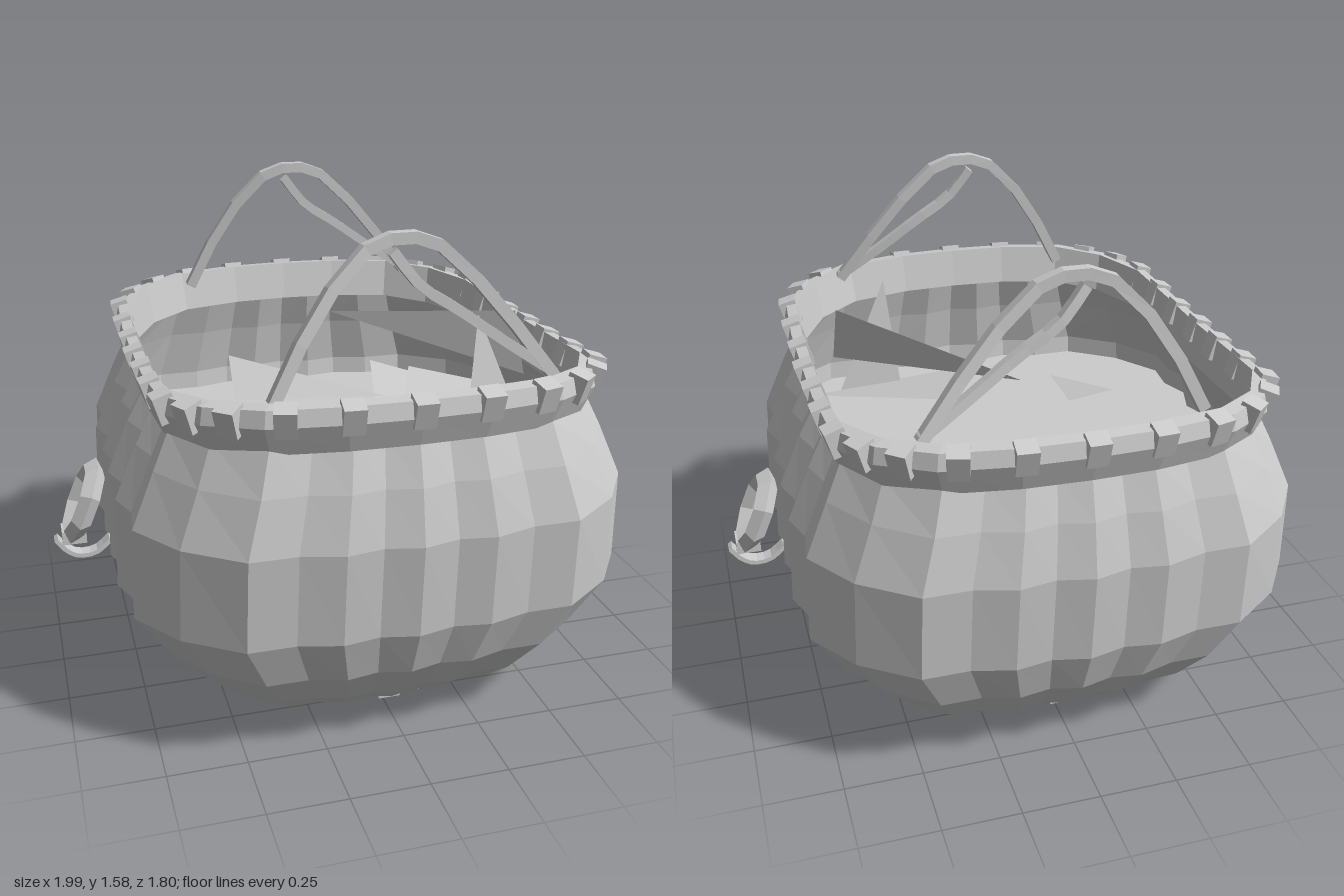
import * as THREE from 'three';

const V = (x, y, z) => new THREE.Vector3(x, y, z);
const grey = new THREE.MeshStandardMaterial({ color: 0xcccccc, flatShading: true, side: THREE.DoubleSide });
grey.name = 'soft grey';

// Skin a list of cross-section loops; optionally join last to first, or cap the ends
function loft(rings, joinEnds = false, caps = false) {
  const n = rings[0].length, pos = [];
  const tri = (...p) => p.forEach(v => pos.push(v.x, v.y, v.z));
  const last = joinEnds ? rings.length : rings.length - 1;
  for (let r = 0; r < last; r++) {
    const a = rings[r], b = rings[(r + 1) % rings.length];
    for (let i = 0; i < n; i++) {
      const j = (i + 1) % n;
      tri(a[i], b[i], b[j]);
      tri(a[i], b[j], a[j]);
    }
  }
  if (caps) {
    const e = rings[rings.length - 1];
    for (let i = 1; i < n - 1; i++) {
      tri(rings[0][0], rings[0][i], rings[0][i + 1]);
      tri(e[0], e[i + 1], e[i]);
    }
  }
  const g = new THREE.BufferGeometry();
  g.setAttribute('position', new THREE.Float32BufferAttribute(pos, 3));
  g.computeVertexNormals();
  return g;
}

// One quarter of the plan outline (unit half-width and half-depth): x, z
const pleated = [[0.97, 0], [1, 0.11], [0.955, 0.23], [1, 0.36], [0.955, 0.48], [0.97, 0.62],
  [0.83, 0.81], [0.62, 0.95], [0.44, 0.95], [0.28, 0.99], [0.14, 0.97], [0, 1]];
const plain = [[1, 0], [1, 0.3], [0.98, 0.6], [0.84, 0.81], [0.62, 0.94], [0.3, 0.99], [0, 1]];

// Mirror the quarter round all four sides
function outline(quarter, hx, hz, y, dip = 0) {
  const back = quarter.slice(1, -1).reverse();
  const all = [
    ...quarter, ...back.map(([x, z]) => [-x, z]),
    ...quarter.slice(0, -1).map(([x, z]) => [-x, -z]), [0, -1],
    ...back.map(([x, z]) => [x, -z]),
  ];
  return all.map(([x, z]) => V(x * hx, y - dip * (1 - z * z), z * hz));
}

// Flat strap of rectangular section following points
function strap(points, wide, thick, side) {
  const path = new THREE.CatmullRomCurve3(points);
  const rings = [];
  for (let i = 0; i <= 9; i++) {
    const p = path.getPoint(i / 9), t = path.getTangent(i / 9);
    const s = side.clone().addScaledVector(t, -side.dot(t)).normalize();
    const u = s.clone().cross(t).normalize();
    rings.push([[1, 1], [-1, 1], [-1, -1], [1, -1]].map(([a, b]) =>
      p.clone().addScaledVector(s, a * thick / 2).addScaledVector(u, b * wide / 2)));
  }
  return loft(rings, false, true);
}

export function createModel() {
  const model = new THREE.Group();
  model.name = 'basket';
  const add = (name, geometry, parent = model) => {
    const m = new THREE.Mesh(geometry, grey);
    m.name = name;
    parent.add(m);
    return m;
  };

  // Pleated bulging body
  const levels = [[0.07, 0.53, 0.63], [0.14, 0.61, 0.71], [0.27, 0.71, 0.81], [0.43, 0.82, 0.875],
    [0.73, 0.81, 0.9], [0.9, 0.735, 0.87], [1.04, 0.68, 0.83, 0.04]];
  add('body', loft(levels.map(([y, hx, hz, dip]) => outline(pleated, hx, hz, y, dip))));

  // Shallow base with lengthwise slats
  add('base', loft([[0.025, 0.001, 0.001], [0.04, 0.3, 0.36], [0.07, 0.53, 0.63]]
    .map(([y, hx, hz]) => outline(pleated, hx, hz, y))));
  for (let k = -3; k <= 3; k++) {
    const x = k * 0.14, len = 0.6 * (1 - 0.03 * k * k), rings = [];
    for (let i = -3; i <= 3; i++) {
      const z = i / 3 * len, y = 0.05 * (0.7 * (x / 0.5) ** 2 + (z / 0.62) ** 2);
      rings.push([V(x - 0.035, y, z), V(x + 0.035, y, z), V(x + 0.045, y + 0.04, z), V(x - 0.045, y + 0.04, z)]);
    }
    add('baseSlat', loft(rings, false, true));
  }

  // Inner floor
  const floorShape = new THREE.Shape(outline(pleated, 0.8, 0.88, 0).map(p => new THREE.Vector2(p.x, -p.z)));
  add('innerFloor', new THREE.ShapeGeometry(floorShape).rotateX(-Math.PI / 2).translate(0, 0.67, 0));

  // Flared rim, dipping at the sides
  const rimSection = [[1.02, 0.675, 0.835], [1.11, 0.71, 0.87], [1.16, 0.7, 0.86],
    [1.165, 0.665, 0.815], [1.03, 0.645, 0.79]];
  add('rim', loft(rimSection.map(([y, hx, hz]) => outline(plain, hx, hz, y, 0.055)), true));

  // Stitches gripping the rim: x, z, turn (one quarter, mirrored)
  const stitches = [[0.685, 0, 90], [0.68, 0.17, 90], [0.68, 0.35, 88], [0.67, 0.53, 84], [0.615, 0.65, 62],
    [0.52, 0.745, 42], [0.38, 0.815, 16], [0.2, 0.845, 4], [0, 0.855, 0]];
  for (const sx of [1, -1]) for (const sz of [1, -1]) {
    for (const [x, z, turn] of stitches) {
      if ((x === 0 && sx < 0) || (z === 0 && sz < 0)) continue;
      const clip = add('rimStitch', new THREE.BoxGeometry(0.065, 0.085, 0.06));
      clip.position.set(sx * x, 1.13 - 0.055 * (1 - (z / 0.87) ** 2), sz * z);
      const a = THREE.MathUtils.degToRad(turn);
      clip.rotation.set(0, Math.atan2(sx * Math.sin(a), sz * Math.cos(a)), 0);
      clip.rotateX(0.3);
    }
  }

  // Arched handles, each with a drooping inner strand
  for (const s of [1, -1]) {
    const handle = new THREE.Group();
    handle.name = s > 0 ? 'frontHandle' : 'backHandle';
    model.add(handle);
    const arch = [[-0.39, 1.13, 0.7], [-0.26, 1.37, 0.68], [-0.11, 1.54, 0.655], [0, 1.57, 0.65],
      [0.11, 1.54, 0.65], [0.28, 1.37, 0.665], [0.46, 1.14, 0.7]];
    const strand = [[-0.03, 1.53, 0.65], [0.05, 1.43, 0.66], [0.17, 1.35, 0.665], [0.31, 1.25, 0.68], [0.46, 1.15, 0.7]];
    add('handleArch', strap(arch.map(([x, y, z]) => V(x, y, s * z)), 0.035, 0.035, V(0, 0, 1)), handle);
    add('handleStrand', strap(strand.map(([x, y, z]) => V(x, y, s * z)), 0.03, 0.03, V(0, 0, 1)), handle);
  }

  // Side rings hanging outward, with a curled hook and a knot
  for (const s of [1, -1]) {
    const side = new THREE.Group();
    side.name = s > 0 ? 'leftRing' : 'rightRing';
    model.add(side);
    const ring = add('ring', new THREE.TorusGeometry(0.095, 0.028, 4, 8).rotateZ(Math.PI / 8)
      .scale(1, 1.25, 1.2).rotateY(Math.PI / 2), side);
    ring.position.set(s * 0.89, 0.595, 0);
    ring.rotation.z = s * 0.4;
    const hook = [[0.81, 0.45], [0.86, 0.41], [0.92, 0.405], [0.96, 0.43], [0.99, 0.47]];
    add('hook', strap(hook.map(([x, y]) => V(s * x, y, 0)), 0.015, 0.05, V(0, 0, 1)), side);
    add('knot', new THREE.BoxGeometry(0.08, 0.045, 0.08), side).position.set(s * 0.93, 0.48, 0);
  }

  // Loose folded scraps lying inside
  const scraps = [
    [V(0.05, 1.1, -0.3), V(0.56, 1.0, 0.28), V(0.55, 1.2, 0.21)],
    [V(0.27, 0.95, -0.05), V(0.65, 0.9, 0.2), V(-0.04, 0.72, 0.7)],
    [V(0.36, 1.24, 0.35), V(0.3, 0.8, 0.42), V(0.55, 0.85, 0.28)],
    [V(-0.26, 0.85, -0.66), V(0.27, 0.75, -0.31), V(-0.27, 0.72, -0.5)],
    [V(0.3, 0.8, -0.6), V(0.55, 0.75, -0.42), V(0.2, 0.7, -0.18)],
    [V(-0.48, 0.75, 0.26), V(-0.31, 0.72, 0.27), V(-0.33, 0.7, 0.56)],
  ];
  for (const corners of scraps) {
    const g = new THREE.BufferGeometry().setFromPoints(corners);
    g.computeVertexNormals();
    add('scrap', g);
  }
  return model;
}
